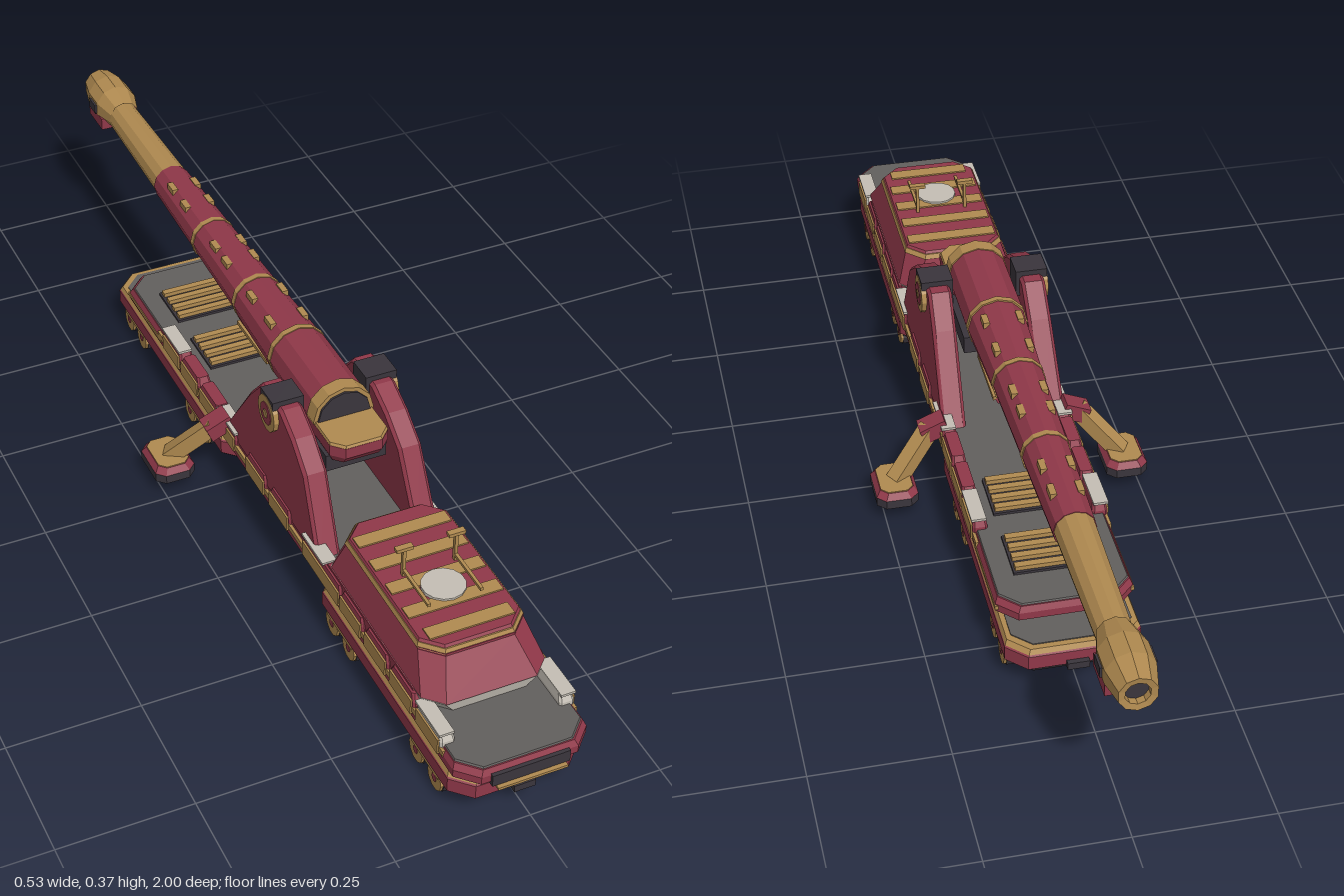
import * as THREE from 'three';

const mat = (name, color) => Object.assign(new THREE.MeshStandardMaterial({ color, flatShading: true }), { name });
const red = mat('crimson', 0x903849), gold = mat('brass', 0xb08a50), dark = mat('charcoal', 0x3a353c);
const grey = mat('deck grey', 0x625f5d), light = mat('pale grey', 0xc4beb4);

// Lofted chamfered slab: sections are [halfX, halfZ, y, cornerCut, zShift]
function slabGeo(sections) {
  const rings = sections.map(([x, z, y, c, o = 0]) => [
    [x, y, c - z + o], [x - c, y, o - z], [c - x, y, o - z], [-x, y, c - z + o],
    [-x, y, z - c + o], [c - x, y, z + o], [x - c, y, z + o], [x, y, z - c + o]]);
  const p = [];
  const tri = (...v) => v.forEach(q => p.push(...q));
  for (let s = 0; s + 1 < rings.length; s++) {
    const a = rings[s], b = rings[s + 1];
    for (let i = 0; i < 8; i++) {
      const j = (i + 1) % 8;
      tri(a[i], a[j], b[j]);
      tri(a[i], b[j], b[i]);
    }
  }
  const a = rings[0], b = rings[rings.length - 1];
  for (let i = 1; i < 7; i++) {
    tri(b[0], b[i], b[i + 1]);
    tri(a[0], a[i + 1], a[i]);
  }
  const g = new THREE.BufferGeometry();
  g.setAttribute('position', new THREE.Float32BufferAttribute(p, 3));
  g.computeVertexNormals();
  return g;
}

export function createModel() {
  const root = new THREE.Group();
  root.name = 'railwayGun';

  const add = (name, geo, m, x = 0, y = 0, z = 0, parent = root) => {
    const mesh = new THREE.Mesh(geo, m);
    mesh.name = name;
    mesh.position.set(x, y, z);
    parent.add(mesh);
    return mesh;
  };
  const box = (name, m, w, h, d, x, y, z, parent) => add(name, new THREE.BoxGeometry(w, h, d), m, x, y, z, parent);
  const slab = (name, m, z, sections, parent) => add(name, slabGeo(sections), m, 0, 0, z, parent);
  const cylZ = (name, m, rFront, rBack, z0, z1, y, parent, n = 12) =>
    add(name, new THREE.CylinderGeometry(rFront, rBack, Math.abs(z0 - z1), n).rotateX(Math.PI / 2), m, 0, y, (z0 + z1) / 2, parent);
  const cylX = (name, m, r, w, x, y, z, n = 10, parent = root) =>
    add(name, new THREE.CylinderGeometry(r, r, w, n).rotateZ(Math.PI / 2), m, x, y, z, parent);

  // Two wheeled trucks with layered skirts
  for (const [zc, hz, wheels] of [[0.683, 0.283, [0.88, 0.81, 0.54, 0.47]], [-0.31, 0.31, [-0.13, -0.205, -0.47, -0.54]]]) {
    const truck = new THREE.Group();
    truck.name = 'truck';
    root.add(truck);
    slab('truckUnderside', dark, zc, [[0.112, hz - 0.012, 0.031, 0.035], [0.12, hz - 0.002, 0.048, 0.035]], truck);
    slab('truckSkirt', red, zc, [[0.123, hz, 0.046, 0.035], [0.123, hz, 0.074, 0.035], [0.12, hz - 0.003, 0.078, 0.035]], truck);
    slab('truckTrim', gold, zc, [[0.122, hz - 0.002, 0.077, 0.035], [0.118, hz - 0.007, 0.086, 0.035]], truck);
    slab('truckFloor', grey, zc, [[0.109, hz - 0.018, 0.085, 0.033], [0.109, hz - 0.018, 0.088, 0.033]], truck);
    for (const e of [-1, 1]) box('coupler', dark, 0.04, 0.014, 0.02, 0, 0.048, zc + e * hz, truck);
    for (const z of wheels) for (const s of [-1, 1]) {
      cylX('wheel', dark, 0.027, 0.028, s * 0.101, 0.027, z, 10, truck);
      cylX('wheelFace', gold, 0.025, 0.008, s * 0.116, 0.027, z, 10, truck);
      cylX('wheelHub', red, 0.008, 0.006, s * 0.118, 0.027, z, 8, truck);
    }
    for (const i of [0, 2]) for (const s of [-1, 1])
      box('axleBar', gold, 0.008, 0.012, 0.1, s * 0.117, 0.041, (wheels[i] + wheels[i + 1]) / 2, truck);
  }

  // Long main deck
  slab('deckBeam', grey, 0.22, [[0.11, 0.745, 0.084, 0.03], [0.117, 0.76, 0.099, 0.03]]);
  slab('deckBody', red, 0.218, [[0.113, 0.75, 0.09, 0.03], [0.125, 0.768, 0.1, 0.035], [0.125, 0.768, 0.115, 0.035], [0.12, 0.762, 0.126, 0.035]]);
  slab('deckFloor', grey, 0.218, [[0.119, 0.76, 0.125, 0.035], [0.117, 0.758, 0.129, 0.035]]);
  box('noseRecess', dark, 0.145, 0.024, 0.03, 0, 0.105, 0.977);
  box('noseLip', gold, 0.13, 0.005, 0.028, 0, 0.091, 0.986);
  for (const s of [-1, 1]) {
    box('sideStripe', gold, 0.006, 0.012, 1.27, s * 0.1235, 0.118, 0.28);
    box('rearStripe', gold, 0.006, 0.008, 0.18, s * 0.1235, 0.109, -0.43);
  }

  // Sloped lockers along the deck edges, brass fronted, some with pale top plates
  const pale = [0.86, 0.4, 0.0, -0.28];
  for (const z of [0.86, 0.76, 0.66, 0.56, 0.47, 0.4, 0.25, 0.14, 0.0, -0.09, -0.185, -0.28])
    for (const s of [-1, 1]) {
      add('locker', slabGeo([[0.014, 0.047, 0.122, 0.004], [0.014, 0.046, 0.134, 0.004], [0.012, 0.038, 0.149, 0.004]]),
        z === 0.86 ? light : red, s * 0.112, 0, z);
      box('lockerFront', gold, 0.005, 0.031, 0.082, s * 0.1265, 0.1225, z);
      if (pale.includes(z)) box('lockerPlate', light, 0.028, 0.005, 0.09, s * 0.114, 0.15, z);
    }

  // Forward cabin on a pale window band
  slab('windowBand', light, 0.6375, [[0.11, 0.203, 0.127, 0.042], [0.118, 0.209, 0.154, 0.03]]);
  slab('cabinBody', red, 0.6375, [[0.118, 0.21, 0.153, 0.032], [0.1, 0.177, 0.214, 0.035, -0.016], [0.1, 0.177, 0.219, 0.035, -0.016]]);
  slab('cabinTrim', gold, 0.62, [[0.101, 0.178, 0.217, 0.035], [0.098, 0.174, 0.226, 0.035]]);
  slab('cabinRoof', red, 0.62, [[0.097, 0.172, 0.225, 0.033], [0.094, 0.168, 0.231, 0.032]]);
  for (const z of [0.5, 0.565, 0.63, 0.695, 0.755]) box('roofStripe', gold, z > 0.72 ? 0.16 : 0.18, 0.006, 0.028, 0, 0.231, z);
  add('roofHatch', new THREE.CylinderGeometry(0.04, 0.04, 0.006, 14), light, 0, 0.235, 0.66);
  for (const s of [-1, 1]) {
    // Rear part of the band is plated over
    box('cabinSidePlate', red, 0.006, 0.026, 0.34, s * 0.117, 0.141, 0.62);
    // Roof lookout guns
    box('gunPost', gold, 0.006, 0.065, 0.008, s * 0.05, 0.262, 0.605);
    box('gunShield', gold, 0.032, 0.007, 0.012, s * 0.05, 0.292, 0.605);
    box('gunTube', gold, 0.006, 0.006, 0.1, s * 0.05, 0.244, 0.655);
  }
  box('cabinBackPlate', red, 0.17, 0.026, 0.006, 0, 0.141, 0.43);

  // Trunnion frames on both sides of the gun
  const outline = new THREE.Shape([[0.41, 0.126], [0.34, 0.27], [0.285, 0.312], [0.23, 0.338], [0.14, 0.338], [0.09, 0.282], [-0.02, 0.126]]
    .map(([z, y]) => new THREE.Vector2(z, y)));
  for (const s of [-1, 1]) {
    const g = new THREE.ExtrudeGeometry(outline, { depth: 0.034, bevelThickness: 0.006, bevelSize: 0.006, bevelOffset: -0.006, bevelSegments: 1 });
    g.rotateY(-Math.PI / 2).translate(0.017, 0, 0);
    const p = g.attributes.position;
    for (let i = 0; i < p.count; i++) p.setX(i, p.getX(i) - s * (p.getY(i) - 0.126) * 0.03);
    g.computeVertexNormals();
    add('trunnionFrame', g, red, s * 0.098, 0, 0);
    box('bearingCap', dark, 0.062, 0.055, 0.055, s * 0.093, 0.321, 0.19);
    cylX('trunnionRing', gold, 0.037, 0.012, s * 0.119, 0.308, 0.19, 12);
    cylX('trunnionCentre', red, 0.023, 0.004, s * 0.1245, 0.308, 0.19, 12);
    cylX('trunnionPin', gold, 0.009, 0.004, s * 0.126, 0.308, 0.19, 8);
  }

  // Gun: breech, cradle and barrel
  const gun = new THREE.Group();
  gun.name = 'gun';
  root.add(gun);
  cylZ('breech', red, 0.058, 0.058, 0.24, 0.05, 0.312, gun);
  cylZ('breechRim', gold, 0.06, 0.06, 0.255, 0.225, 0.312, gun);
  cylZ('breechFace', dark, 0.052, 0.052, 0.259, 0.253, 0.312, gun);
  slab('breechBlock', red, 0.27, [[0.05, 0.06, 0.268, 0.015], [0.058, 0.072, 0.285, 0.022], [0.058, 0.072, 0.307, 0.022]], gun);
  slab('breechShelf', gold, 0.27, [[0.058, 0.072, 0.306, 0.022], [0.056, 0.069, 0.312, 0.022]], gun);
  box('cradle', dark, 0.12, 0.035, 0.24, 0, 0.257, 0.19, gun);
  cylZ('barrelRear', red, 0.057, 0.05, 0.05, -0.14, 0.312, gun);
  cylZ('barrelMiddle', red, 0.049, 0.039, -0.14, -0.58, 0.314, gun);
  cylZ('barrelFront', gold, 0.037, 0.032, -0.58, -0.87, 0.315, gun);
  for (const [z, r] of [[0.05, 0.059], [-0.14, 0.051], [-0.36, 0.046]]) cylZ('barrelBand', gold, r, r, z + 0.006, z - 0.006, 0.313, gun);
  for (const s of [-1, 1]) {
    cylZ('recoilCylinder', red, 0.017, 0.017, 0.12, -0.13, 0.273, gun, 8).position.x = s * 0.025;
    cylZ('recoilCap', gold, 0.012, 0.012, -0.13, -0.15, 0.273, gun, 8).position.x = s * 0.025;
    box('recoilRail', gold, 0.008, 0.008, 0.14, s * 0.042, 0.273, -0.06, gun);
    for (const [z, r] of [[0.0, 0.055], [-0.09, 0.052], [-0.22, 0.047], [-0.28, 0.045], [-0.44, 0.042], [-0.51, 0.041]])
      box('barrelClip', gold, 0.012, 0.012, 0.03, s * r * 0.6, 0.314 + r * 0.78, z, gun);
  }

  // Bulged muzzle with open bore and side vents
  const muzzle = new THREE.LatheGeometry([[0.032, 0], [0.045, 0.05], [0.045, 0.1], [0.034, 0.15], [0.022, 0.148], [0.022, 0.12]]
    .map(([r, y]) => new THREE.Vector2(r, y)), 10);
  add('muzzleBrake', muzzle.rotateX(-Math.PI / 2), gold, 0, 0.32, -0.85, gun);
  cylZ('muzzleBore', dark, 0.023, 0.023, -0.965, -0.985, 0.32, gun, 10);
  for (const s of [-1, 1]) {
    box('muzzleCheek', red, 0.026, 0.026, 0.075, s * 0.029, 0.294, -0.915, gun);
    box('muzzleVent', dark, 0.006, 0.02, 0.035, s * 0.044, 0.318, -0.92, gun);
  }

  // Ribbed gratings on the rear deck
  for (const zc of [-0.24, -0.41]) {
    box('gratingBase', dark, 0.16, 0.006, 0.106, 0, 0.131, zc);
    for (let i = 0; i < 4; i++) box('gratingRib', gold, 0.152, 0.009, 0.014, 0, 0.138, zc + (i - 1.5) * 0.027);
  }

  // Folding outriggers with ground pads
  for (const s of [-1, 1]) {
    const leg = new THREE.Group();
    leg.name = 'outrigger';
    root.add(leg);
    box('outriggerBracket', red, 0.052, 0.032, 0.04, s * 0.138, 0.138, -0.015, leg).rotation.z = -s * 0.4;
    const from = new THREE.Vector3(s * 0.145, 0.138, -0.015), to = new THREE.Vector3(s * 0.222, 0.055, -0.06);
    const arm = box('outriggerArm', gold, 0.03, 0.03, from.distanceTo(to), 0, 0, 0, leg);
    arm.position.copy(from).lerp(to, 0.5);
    arm.lookAt(to);
    add('padSole', slabGeo([[0.04, 0.054, 0.032, 0.016], [0.04, 0.054, 0.05, 0.016]]), dark, s * 0.225, 0, -0.06, leg);
    add('padTop', slabGeo([[0.04, 0.054, 0.05, 0.016], [0.032, 0.045, 0.062, 0.014]]), red, s * 0.225, 0, -0.06, leg);
    add('padPlate', slabGeo([[0.031, 0.044, 0.061, 0.013], [0.031, 0.044, 0.064, 0.013]]), gold, s * 0.225, 0, -0.06, leg);
    add('padFoot', new THREE.CylinderGeometry(0.02, 0.02, 0.003, 8), gold, s * 0.225, 0.0315, -0.06, leg);
  }
  return root;
}
